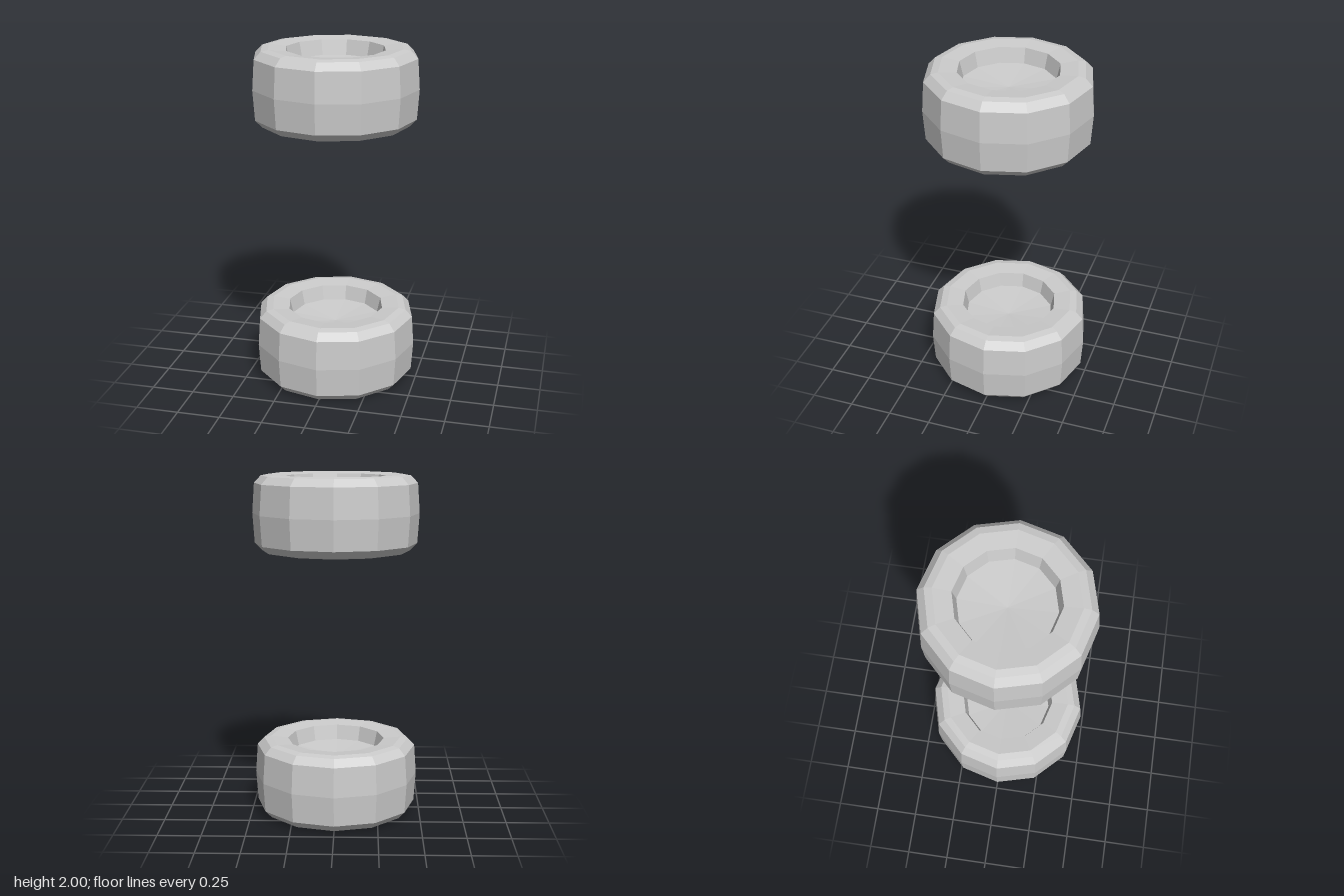
import * as THREE from 'three';

export function createModel() {
  const model = new THREE.Group();
  model.name = 'wheelPair';
  const material = new THREE.MeshStandardMaterial({ color: 0xcccccc, flatShading: true });

  // Half profile [radius, height above the mid plane], from tread to hub centre
  const half = [
    [0.47, 0.172], [0.43, 0.214], [0.388, 0.222],
    [0.287, 0.212], [0.266, 0.125], [0, 0.1],
  ];
  const profile = [
    ...half.map(([r, y]) => new THREE.Vector2(r, -y)).reverse(),
    new THREE.Vector2(0.482, 0),
    ...half.map(([r, y]) => new THREE.Vector2(r, y)),
  ];
  const wheelGeometry = new THREE.LatheGeometry(profile, 12);

  // Two identical wheels, one above the other
  for (const [name, y] of [['lowerWheel', 0.222], ['upperWheel', 1.778]]) {
    const wheel = new THREE.Mesh(wheelGeometry, material);
    wheel.name = name;
    wheel.position.y = y;
    model.add(wheel);
  }
  return model;
}
